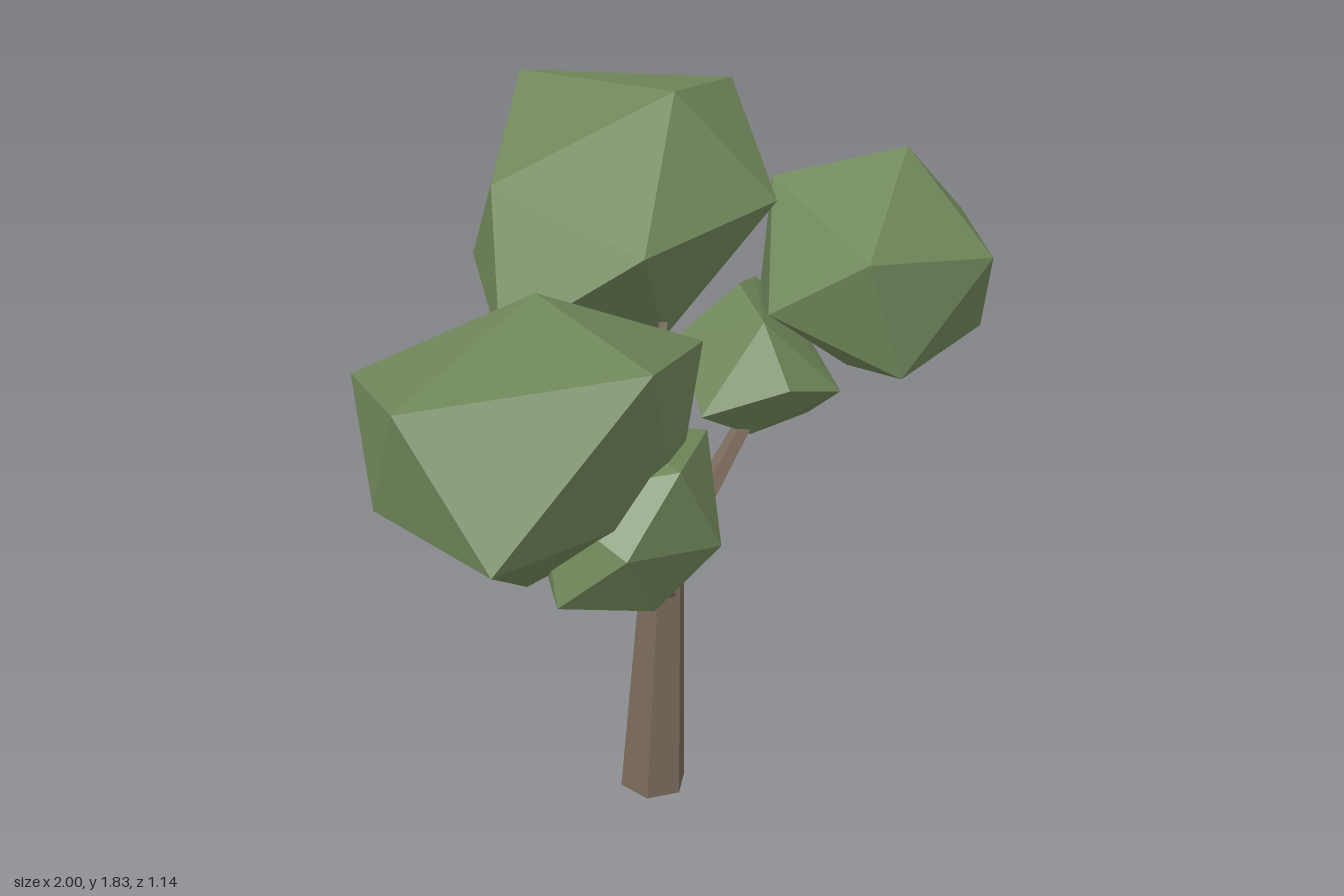
import * as THREE from 'three';
import { ConvexGeometry } from 'three/addons/geometries/ConvexGeometry.js';

const bark = new THREE.MeshStandardMaterial({ color: 0x78695b, flatShading: true });
bark.name = 'bark brown';
const leaf = new THREE.MeshStandardMaterial({ color: 0x70875a, flatShading: true });
leaf.name = 'leaf green';

// Tapered faceted limb between two points
function limb(name, from, to, r0, r1, sides = 5) {
  const a = new THREE.Vector3(...from), b = new THREE.Vector3(...to);
  const dir = b.clone().sub(a);
  const mesh = new THREE.Mesh(new THREE.CylinderGeometry(r1, r0, dir.length(), sides), bark);
  mesh.position.copy(a).add(b).multiplyScalar(0.5);
  mesh.quaternion.setFromUnitVectors(new THREE.Vector3(0, 1, 0), dir.normalize());
  mesh.name = name;
  return mesh;
}

// Uneven twenty-sided leaf clump from its corner points
function clump(name, corners) {
  const mesh = new THREE.Mesh(new ConvexGeometry(corners.map((c) => new THREE.Vector3(...c))), leaf);
  mesh.name = name;
  return mesh;
}

export function createModel() {
  const tree = new THREE.Group();
  tree.name = 'tree';

  // Trunk and branches
  tree.add(
    limb('trunk', [-0.13, 0.01, 0.15], [-0.09, 0.66, 0.145], 0.092, 0.06, 6),
    limb('rightBranch', [-0.11, 0.63, 0.16], [-0.48, 0.97, 0.28], 0.045, 0.025),
    limb('leftBranch', [-0.12, 0.62, 0.14], [0.34, 1.01, 0.13], 0.042, 0.022),
    limb('middleBranch', [-0.115, 0.61, 0.14], [-0.095, 1.1, 0.13], 0.038, 0.024),
    limb('middleTwig', [-0.096, 1.09, 0.13], [0.0, 1.31, 0.07], 0.024, 0.012),
  );

  // Crown
  tree.add(
    clump('topFoliage', [
      [0.17, 1.83, -0.04], [0.57, 1.76, -0.17], [0.18, 1.79, -0.57], [0.33, 1.51, -0.51],
      [0.32, 1.56, 0.17], [-0.08, 1.37, -0.51], [-0.2, 1.63, -0.31], [0.07, 1.23, -0.24],
      [-0.36, 1.31, -0.14], [-0.18, 1.55, 0.16], [0.05, 1.24, 0.03], [0.43, 1.44, -0.1],
    ]),
    clump('rightFoliage', [
      [-0.5, 1.56, 0.12], [-1, 1.48, 0.2], [-0.59, 1.52, 0.53], [-0.2, 1.41, 0.35],
      [-0.98, 1.19, 0.44], [-0.36, 1.3, -0.13], [-0.8, 1.39, -0.16], [-0.6, 1.09, -0.16],
      [-0.7, 0.96, 0.26], [-0.33, 1.1, 0.15], [-0.95, 1.19, 0.06], [-0.42, 1.11, 0.45],
    ]),
    clump('leftFoliage', [
      [0.69, 1.64, 0.31], [1, 1.39, 0.31], [0.72, 1.39, 0.57], [0.34, 1.45, 0.44],
      [0.82, 1.44, -0.02], [0.92, 1.19, 0.1], [0.82, 1.15, 0.5], [0.43, 1.13, 0.5],
      [0.56, 1.05, 0.25], [0.26, 1.28, 0.2], [0.52, 1.54, 0.01], [0.55, 1.19, -0.04],
    ]),
    clump('lowerRightFoliage', [
      [-0.5, 1.26, 0.53], [-0.39, 1.04, 0.56], [-0.23, 1.21, 0.39], [-0.29, 0.89, 0.4],
      [-0.53, 0.85, 0.27], [-0.7, 0.94, 0.35], [-0.64, 1.09, 0.5], [-0.54, 1.07, 0.1],
      [-0.3, 1.02, 0.16], [-0.4, 1.24, 0.22], [-0.65, 1.17, 0.26], [-0.5, 0.88, 0.46],
    ]),
    clump('lowerLeftFoliage', [
      [0.27, 1.25, 0.18], [0.12, 1.01, 0.1], [0.27, 0.92, 0.15], [0.49, 0.91, 0.18],
      [0.6, 1.07, 0.1], [0.43, 1.04, 0.32], [0.24, 1.1, 0.29], [0.57, 1.22, -0.07],
      [0.42, 1.02, -0.12], [0.4, 1.27, 0.0], [0.25, 1.15, -0.08], [0.35, 0.95, -0.03],
    ]),
  );
  return tree;
}
